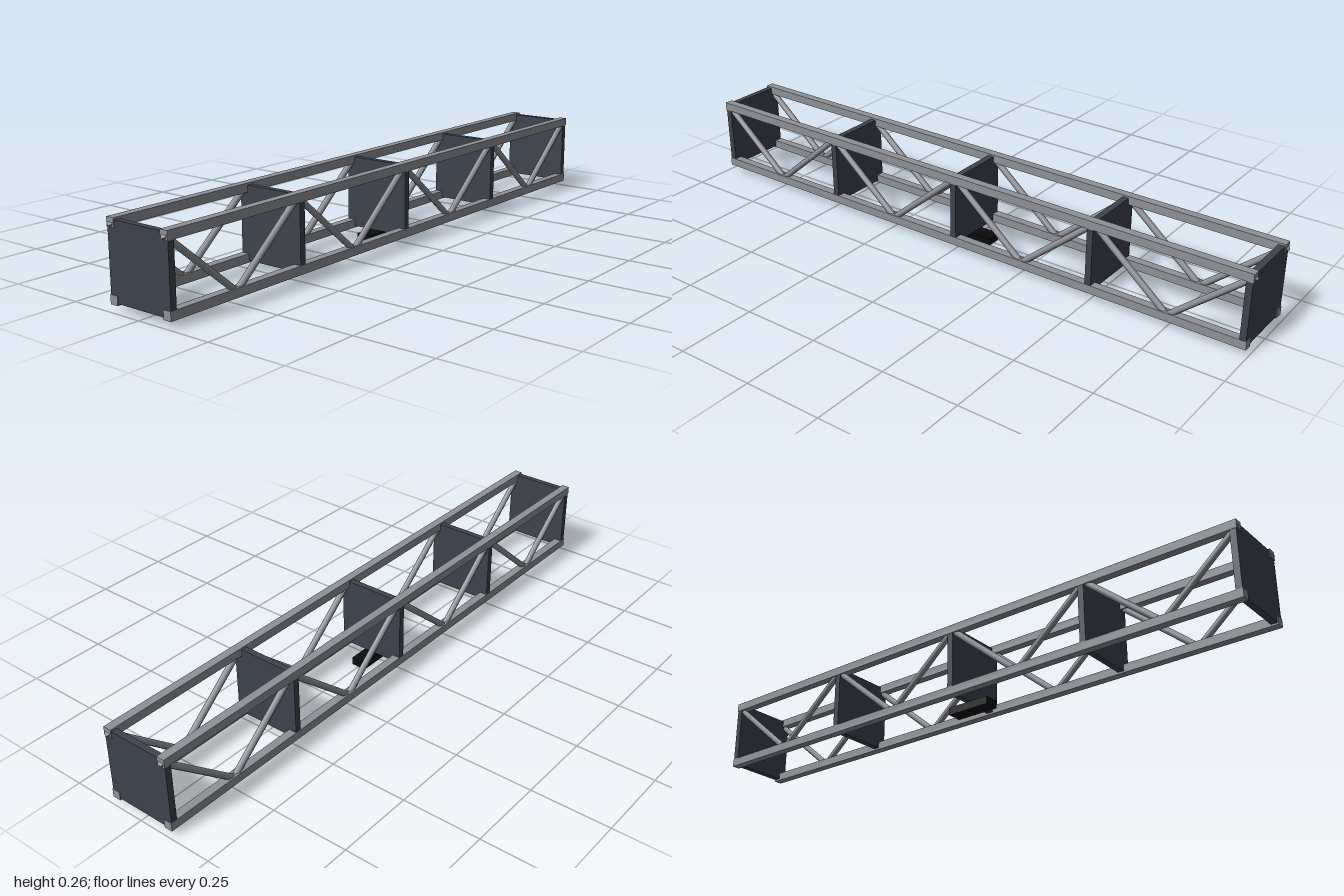
import * as THREE from 'three';

const HALF = 0.993;                 // half length of the rails
const RAIL = 0.027, RAIL_Z = 0.1;   // rail thickness and sideways offset
const TOP = 0.243, BOTTOM = 0.033;  // rail centre heights

export function createModel() {
  const group = new THREE.Group();
  const railMat = new THREE.MeshStandardMaterial({ color: 0x8e9198 });
  const strutMat = new THREE.MeshStandardMaterial({ color: 0x8e9198 });
  const plateMat = new THREE.MeshStandardMaterial({ color: 0x3d424d });
  const padMat = new THREE.MeshStandardMaterial({ color: 0x0c0c0c });

  function add(name, geometry, material, x, y, z) {
    const mesh = new THREE.Mesh(geometry, material);
    mesh.name = name;
    mesh.position.set(x, y, z);
    group.add(mesh);
    return mesh;
  }

  // Four long square rails
  const railGeo = new THREE.BoxGeometry(2 * HALF, RAIL, RAIL);
  for (const z of [RAIL_Z, -RAIL_Z]) {
    for (const y of [TOP, BOTTOM]) add('rail', railGeo, railMat, 0, y, z);
  }

  // Five square bulkheads, just inside the rail faces
  const plateGeo = new THREE.BoxGeometry(0.02, 0.226, 0.225);
  for (let i = -2; i <= 2; i++) add('bulkhead', plateGeo, plateMat, i * 0.4905, 0.138, 0);

  // Zigzag round struts on both long sides
  const step = HALF / 4, rise = TOP - BOTTOM;
  const strutGeo = new THREE.CylinderGeometry(0.01, 0.01, Math.hypot(step, rise), 8);
  const lean = Math.atan2(step, rise);
  for (const z of [RAIL_Z, -RAIL_Z]) {
    for (let i = 0; i < 8; i++) {
      const strut = add('diagonalStrut', strutGeo, strutMat, -HALF + (i + 0.5) * step, (TOP + BOTTOM) / 2, z);
      strut.rotation.z = i % 2 === 0 ? lean : -lean;
    }
  }

  // Mounting pad under the middle bulkhead
  add('mountingPad', new THREE.BoxGeometry(0.15, 0.025, 0.05), padMat, 0, 0.0125, 0);

  return group;
}
